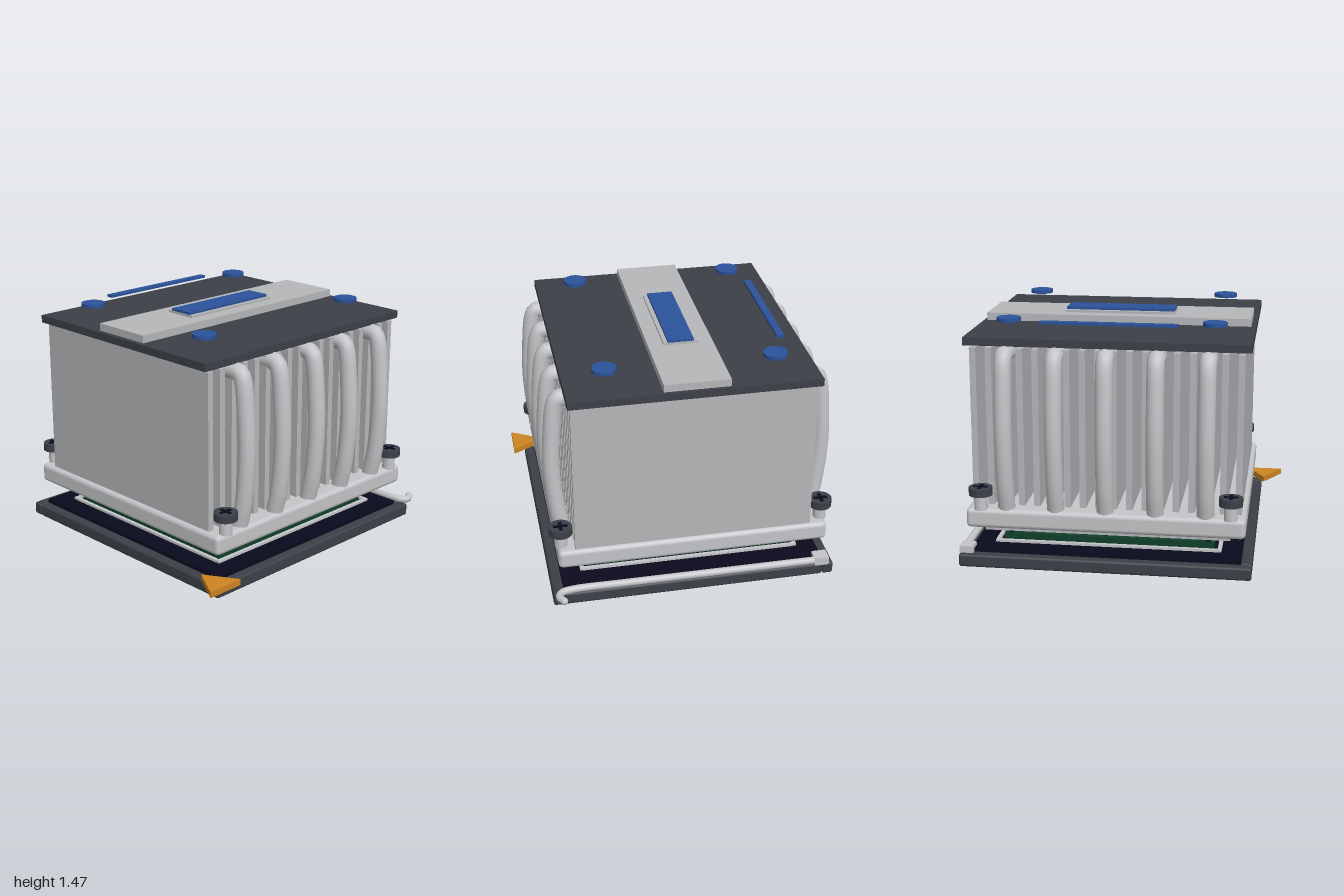
import * as THREE from 'three';
import { RoundedBoxGeometry } from 'three/addons/geometries/RoundedBoxGeometry.js';

const mat = (name, color) => {
  const m = new THREE.MeshStandardMaterial({ color });
  m.name = name;
  return m;
};

export function createModel() {
  const silver = mat('silver', 0xc4c5c8);
  const aluminium = mat('aluminium', 0xb6b7ba);
  const charcoal = mat('charcoal', 0x3c4047);
  const navy = mat('navy', 0x0a0a1e);
  const green = mat('board green', 0x10402a);
  const gold = mat('gold', 0xcc8422);
  const blue = mat('blue', 0x2b529b);

  const root = new THREE.Group();
  root.name = 'cooler';
  const CX = 0.015, CZ = -0.04; // centre of the stack

  const add = (name, geo, material, x = 0, y = 0, z = 0) => {
    const m = new THREE.Mesh(geo, material);
    m.name = name;
    m.position.set(x, y, z);
    root.add(m);
    return m;
  };
  // box from its limits, optionally with rounded edges
  const box = (name, material, x0, x1, y0, y1, z0, z1, r = 0) => {
    const s = [x1 - x0, y1 - y0, z1 - z0];
    const geo = r ? new RoundedBoxGeometry(...s, 2, r) : new THREE.BoxGeometry(...s);
    return add(name, geo, material, (x0 + x1) / 2, (y0 + y1) / 2, (z0 + z1) / 2);
  };
  // plate centred on the stack, from half sizes
  const plate = (name, material, hx, hz, y0, y1, r = 0) =>
    box(name, material, CX - hx, CX + hx, y0, y1, CZ - hz, CZ + hz, r);
  // flat triangle pointing to the back
  const triangle = (name, x, half, zBack, zFront, y0, y1) => {
    const s = new THREE.Shape();
    s.moveTo(x - half, -zFront);
    s.lineTo(x + half, -zFront);
    s.lineTo(x, -zBack);
    s.closePath();
    const geo = new THREE.ExtrudeGeometry(s, { depth: y1 - y0, bevelEnabled: false });
    geo.rotateX(-Math.PI / 2);
    add(name, geo, gold, 0, y0, 0);
  };
  const tube = (name, points, radius, material, segments) => {
    const curve = new THREE.CatmullRomCurve3(points.map(p => new THREE.Vector3(...p)));
    add(name, new THREE.TubeGeometry(curve, segments, radius, 16), material);
    for (const p of [points[0], points[points.length - 1]])
      add(name + 'End', new THREE.SphereGeometry(radius, 16, 10), material, ...p);
  };

  // socket frame and floor
  for (const s of [-1, 1]) {
    const z = CZ + s * 0.845, x = CX + s * 0.845;
    box('frameCrossRail', charcoal, CX - 0.88, CX + 0.88, 0, 0.08, z - 0.035, z + 0.035, 0.015);
    box('frameSideRail', charcoal, x - 0.035, x + 0.035, 0, 0.08, CZ - 0.81, CZ + 0.81, 0.015);
  }
  plate('socketFloor', navy, 0.815, 0.815, 0.01, 0.1);

  // thin rim round the processor
  for (const s of [-1, 1]) {
    const z = CZ + s * 0.68, x = CX + s * 0.68;
    box('rimCross', silver, CX - 0.69, CX + 0.69, 0.1, 0.115, z - 0.012, z + 0.012);
    box('rimSide', silver, x - 0.012, x + 0.012, 0.1, 0.115, CZ - 0.668, CZ + 0.668);
  }

  // processor
  plate('processorBoard', green, 0.645, 0.645, 0.1, 0.146);
  plate('heatSpreader', aluminium, 0.565, 0.55, 0.146, 0.187);
  plate('spreaderFlange', aluminium, 0.745, 0.72, 0.187, 0.211);
  plate('thermalPad', aluminium, 0.495, 0.49, 0.211, 0.236);
  for (let i = 0; i < 8; i++) {
    for (const s of [-1, 1]) {
      add('chip', new THREE.BoxGeometry(0.05, 0.014, 0.03), navy, -0.43 + i * 0.15, 0.151, CZ + s * 0.6);
      add('chip', new THREE.BoxGeometry(0.03, 0.014, 0.05), navy, CX + s * 0.605, 0.151, 0.4 - i * 0.15);
    }
  }
  triangle('processorCornerMark', -0.56, 0.08, 0.44, 0.58, 0.146, 0.166);
  triangle('socketCornerMark', -0.88, 0.12, 0.715, 0.92, 0.086, 0.123);

  // locking lever and its hinge
  tube('lever', [[0.872, 0.097, -0.83], [0.872, 0.097, -0.2], [0.872, 0.097, 0.4], [0.875, 0.097, 0.72],
    [0.89, 0.095, 0.785], [0.93, 0.093, 0.81], [0.978, 0.095, 0.785]], 0.023, silver, 80);
  box('leverHinge', silver, 0.81, 0.895, 0.07, 0.122, -0.89, -0.8);

  // heatsink base and fins
  plate('heatsinkBase', silver, 0.838, 0.835, 0.236, 0.357, 0.028);
  for (let i = 0; i < 18; i++) {
    const x = -0.775 + i * 0.0932;
    box('fin', aluminium, x - 0.019, x + 0.019, 0.34, 1.322, CZ - 0.73, CZ + 0.73);
  }

  // heat pipes, bowed outwards front and back
  const bow = [[0.36, 0.775], [0.5, 0.805], [0.8, 0.83], [1.05, 0.82], [1.24, 0.797],
    [1.283, 0.775], [1.29, 0.735], [1.288, 0.66]];
  for (let i = 0; i < 5; i++)
    for (const s of [-1, 1])
      tube('heatPipe', bow.map(([y, d]) => [-0.583 + i * 0.299, y, CZ + s * d]), 0.052, silver, 48);

  // corner screws
  for (const sx of [-1, 1])
    for (const sz of [-1, 1]) {
      const x = CX + sx * 0.748, z = CZ + sz * 0.808;
      add('screwPost', new THREE.CylinderGeometry(0.04, 0.04, 0.1, 20), silver, x, 0.4, z);
      add('screwHead', new THREE.CylinderGeometry(0.071, 0.071, 0.048, 28), charcoal, x, 0.466, z);
      add('screwSlot', new THREE.BoxGeometry(0.085, 0.006, 0.022), navy, x, 0.491, z);
      add('screwSlot', new THREE.BoxGeometry(0.022, 0.006, 0.085), navy, x, 0.4911, z);
    }

  // top cover with centre bar and blue accents
  plate('topCover', charcoal, 0.848, 0.748, 1.338, 1.385);
  box('centreBar', aluminium, -0.803, 0.843, 1.385, 1.431, -0.242, 0.153);
  box('badgeBase', aluminium, -0.325, 0.36, 1.431, 1.445, -0.153, 0.06);
  box('badge', blue, -0.322, 0.358, 1.445, 1.46, -0.125, 0.034);
  box('accentStrip', blue, -0.395, 0.43, 1.45, 1.466, -0.665, -0.62);
  for (const sx of [-1, 1])
    for (const sz of [-1, 1])
      add('accentDisc', new THREE.CylinderGeometry(0.073, 0.073, 0.022, 28), blue,
        CX + sx * 0.618, 1.457, -0.046 + sz * 0.508);

  return root;
}
